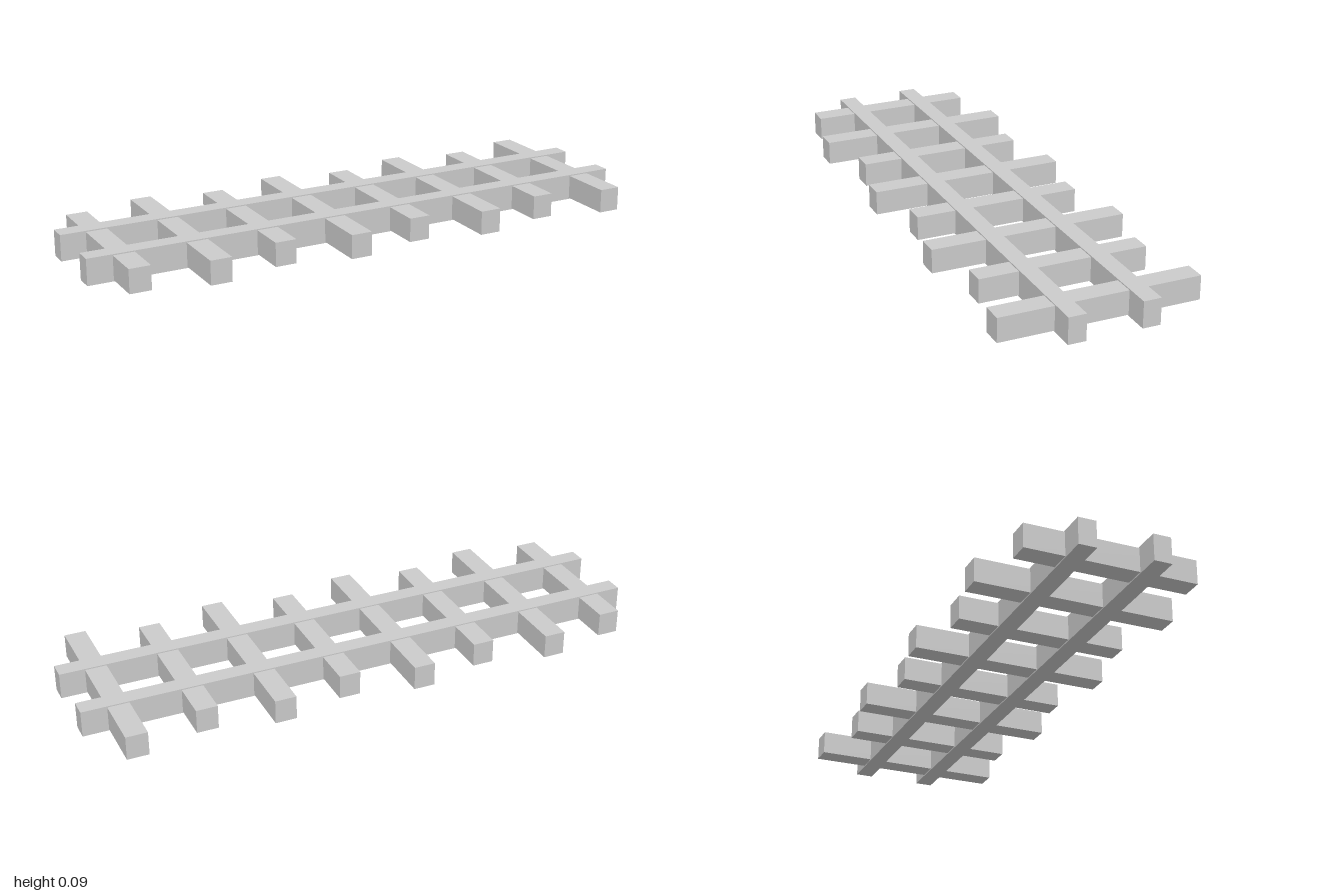
import * as THREE from 'three';

export function createModel() {
  const track = new THREE.Group();
  track.name = 'track';
  const material = new THREE.MeshStandardMaterial({ color: 0xcccccc, flatShading: true });
  const railHeight = 0.091;

  function addBeam(name, width, height, depth, x, z) {
    const beam = new THREE.Mesh(new THREE.BoxGeometry(width, height, depth), material);
    beam.name = name;
    beam.position.set(x, railHeight / 2, z);
    track.add(beam);
  }

  // Two long rails
  addBeam('frontRail', 2, railHeight, 0.061, 0, 0.125);
  addBeam('backRail', 2, railHeight, 0.061, 0, -0.125);

  // Eight crossties, alternating short and long, slightly thinner than the rails
  for (let i = 0; i < 8; i++) {
    const length = i % 2 ? 0.688 : 0.584;
    addBeam(`crosstie${i + 1}`, 0.074, 0.083, length, -0.875 + i * 0.25, 0);
  }

  return track;
}
